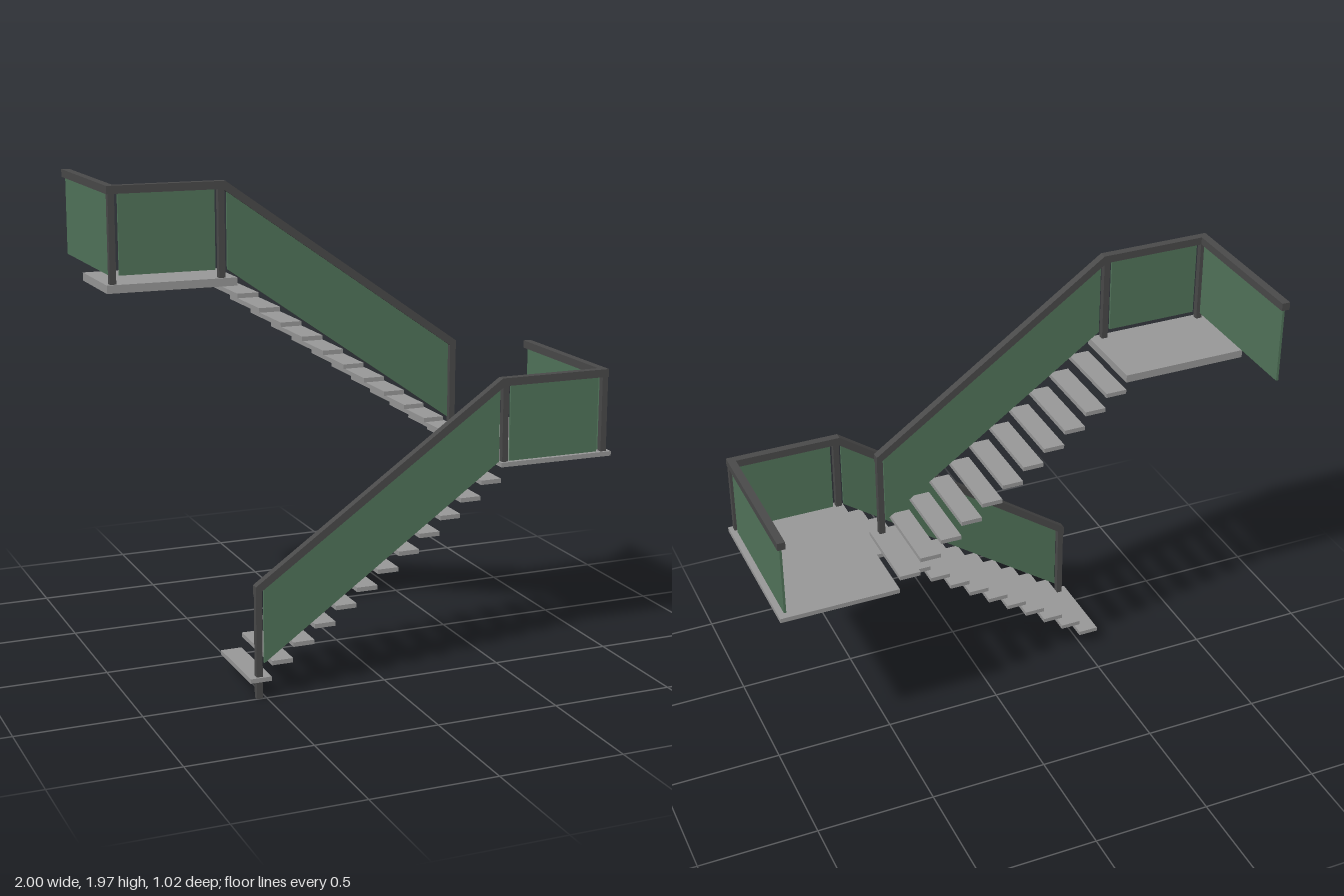
import * as THREE from 'three';

const grey = new THREE.MeshStandardMaterial({ color: 0x999999 });
const dark = new THREE.MeshStandardMaterial({ color: 0x4a4a4a });
const green = new THREE.MeshStandardMaterial({ color: 0x52755b });

// Box given by its extents on each axis
function box(name, material, [x0, x1], [y0, y1], [z0, z1]) {
  const mesh = new THREE.Mesh(new THREE.BoxGeometry(x1 - x0, y1 - y0, z1 - z0), material);
  mesh.position.set((x0 + x1) / 2, (y0 + y1) / 2, (z0 + z1) / 2);
  mesh.name = name;
  return mesh;
}

// Side profile in x and y, extruded from z0 to z1
function profile(name, material, points, [z0, z1]) {
  const shape = new THREE.Shape(points.map(([x, y]) => new THREE.Vector2(x, y)));
  const geometry = new THREE.ExtrudeGeometry(shape, { depth: z1 - z0, bevelEnabled: false });
  const mesh = new THREE.Mesh(geometry, material);
  mesh.position.z = z0;
  mesh.name = name;
  return mesh;
}

// Row of floating treads climbing along x
function treads(name, count, x, y, stepX, stepY, z) {
  const group = new THREE.Group();
  group.name = name;
  for (let i = 0; i < count; i++) {
    const cx = x + i * stepX, cy = y + i * stepY;
    group.add(box('tread', grey, [cx - 0.0435, cx + 0.0435], [cy - 0.009, cy + 0.009], z));
  }
  return group;
}

export function createModel() {
  const model = new THREE.Group();
  model.name = 'staircase';
  const run = 0.0891, rise = 0.063;
  const frontZ = [0.16, 0.51], backZ = [-0.187, 0.16];

  // Treads and landings
  model.add(
    treads('lowerTreads', 12, -0.525, 0.08, run, rise, frontZ),
    treads('upperTreads', 11, 0.454, 0.897, -run, rise, backZ),
    box('middleLanding', grey, [0.5, 1], [0.827, 0.846], [-0.187, 0.51]),
    box('topLanding', grey, [-1, -0.48], [1.568, 1.6], backZ)
  );

  // Lower railing: sloped and level handrail, posts and panels
  const lower = new THREE.Group();
  lower.name = 'lowerRailing';
  const lowPost = [0.475, 0.5], lowGlass = [0.482, 0.492];
  lower.add(
    profile('handrail', dark, [[-0.54, 0.418], [0.515, 1.155], [0.985, 1.155],
      [0.985, 1.187], [0.505, 1.187], [-0.54, 0.455]], [0.467, 0.5]),
    box('sideHandrail', dark, [0.952, 0.985], [1.155, 1.187], [-0.17, 0.467]),
    box('startPost', dark, [-0.54, -0.515], [0, 0.436], lowPost),
    box('innerPost', dark, [0.508, 0.533], [0.846, 1.157], lowPost),
    box('cornerPost', dark, [0.957, 0.982], [0.846, 1.157], lowPost),
    profile('slopedPanel', green, [[-0.505, 0.14], [0.498, 0.847],
      [0.498, 1.147], [-0.505, 0.446]], lowGlass),
    box('landingPanel', green, [0.545, 0.942], [0.846, 1.157], lowGlass),
    box('sidePanel', green, [0.964, 0.974], [0.846, 1.157], [-0.155, 0.463])
  );

  // Upper railing, running the other way
  const upper = new THREE.Group();
  upper.name = 'upperRailing';
  const upPost = [0.125, 0.15], upGlass = [0.132, 0.142];
  upper.add(
    profile('handrail', dark, [[-0.99, 1.942], [-0.53, 1.942], [0.468, 1.243],
      [0.468, 1.28], [-0.52, 1.973], [-0.99, 1.973]], [0.117, 0.15]),
    box('sideHandrail', dark, [-0.99, -0.957], [1.942, 1.973], [-0.515, 0.117]),
    box('startPost', dark, [0.441, 0.466], [0.83, 1.26], upPost),
    box('innerPost', dark, [-0.55, -0.525], [1.6, 1.945], upPost),
    box('cornerPost', dark, [-0.985, -0.96], [1.6, 1.945], upPost),
    profile('slopedPanel', green, [[-0.513, 1.63], [0.435, 0.962],
      [0.435, 1.268], [-0.513, 1.932]], upGlass),
    box('landingPanel', green, [-0.945, -0.562], [1.632, 1.945], upGlass),
    box('sidePanel', green, [-0.978, -0.968], [1.63, 1.945], [-0.502, 0.113])
  );

  model.add(lower, upper);
  return model;
}
